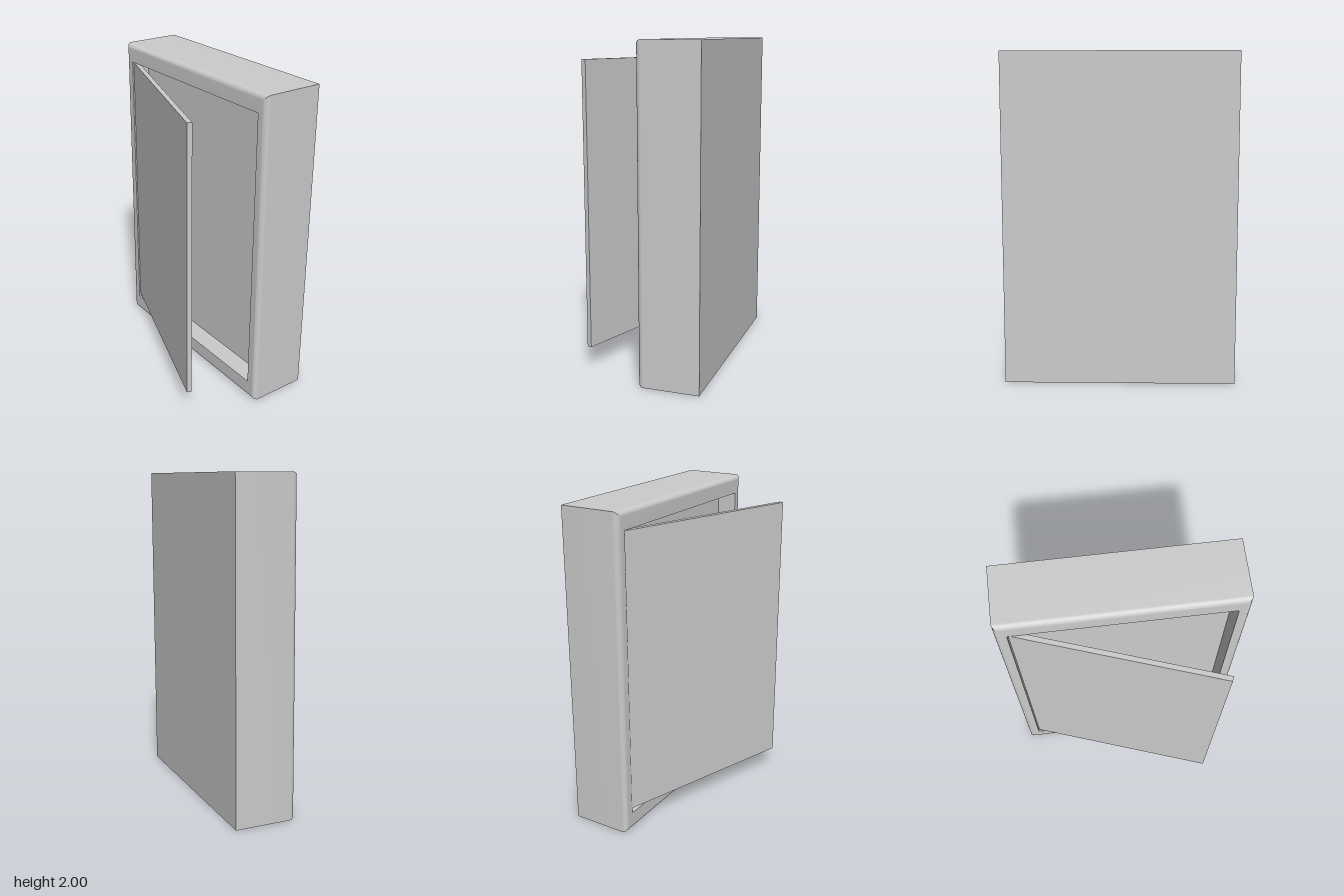
import * as THREE from 'three';
import { toCreasedNormals } from 'three/addons/utils/BufferGeometryUtils.js';

const material = new THREE.MeshStandardMaterial({ color: 0xcccccc });

// Rectangular rings { x, h (half height), w (half width) } swept along x, capped at both ends
function loftRects(rings) {
  const pos = [];
  const corners = ({ x, h, w }) => [[x, -h, -w], [x, -h, w], [x, h, w], [x, h, -w]];
  const quad = (a, b, c, d) => pos.push(...a, ...b, ...c, ...a, ...c, ...d);
  const loops = rings.map(corners);
  for (let i = 0; i < loops.length - 1; i++) {
    const a = loops[i], b = loops[i + 1];
    for (let k = 0; k < 4; k++) {
      const n = (k + 1) % 4;
      quad(a[k], a[n], b[n], b[k]);
    }
  }
  quad(...loops[0].slice().reverse());
  quad(...loops[loops.length - 1]);
  const geo = new THREE.BufferGeometry();
  geo.setAttribute('position', new THREE.Float32BufferAttribute(pos, 3));
  return toCreasedNormals(geo, 0.5);
}

export function createModel() {
  const model = new THREE.Group();
  model.name = 'wallCabinet';

  // Cabinet body: square at the back, rounded rim, shallow recess behind the door
  const back = 0.387, face = 0.01, H = 1, W = 0.7, r = 0.032, steps = 8;
  const rings = [{ x: back, h: H, w: W }];
  for (let i = 0; i <= steps; i++) {
    const a = (i / steps) * Math.PI / 2;
    const inset = r * (1 - Math.cos(a));
    rings.push({ x: face + r - r * Math.sin(a), h: H - inset, w: W - inset });
  }
  rings.push({ x: face, h: 0.888, w: 0.632 }, { x: 0.133, h: 0.888, w: 0.632 });
  const body = new THREE.Mesh(loftRects(rings), material);
  body.name = 'cabinetBody';
  body.position.y = H;
  model.add(body);

  // Door, swung open on its rear vertical edge
  const thickness = 0.03, width = 1.223, bottom = 0.14, top = 1.885;
  const hinge = new THREE.Group();
  hinge.name = 'doorHinge';
  hinge.position.set(0.015, (bottom + top) / 2, -0.625);
  hinge.rotation.y = -0.335;
  const door = new THREE.Mesh(new THREE.BoxGeometry(thickness, top - bottom, width), material);
  door.name = 'door';
  door.position.set(thickness / 2, 0, width / 2);
  hinge.add(door);
  model.add(hinge);

  return model;
}
